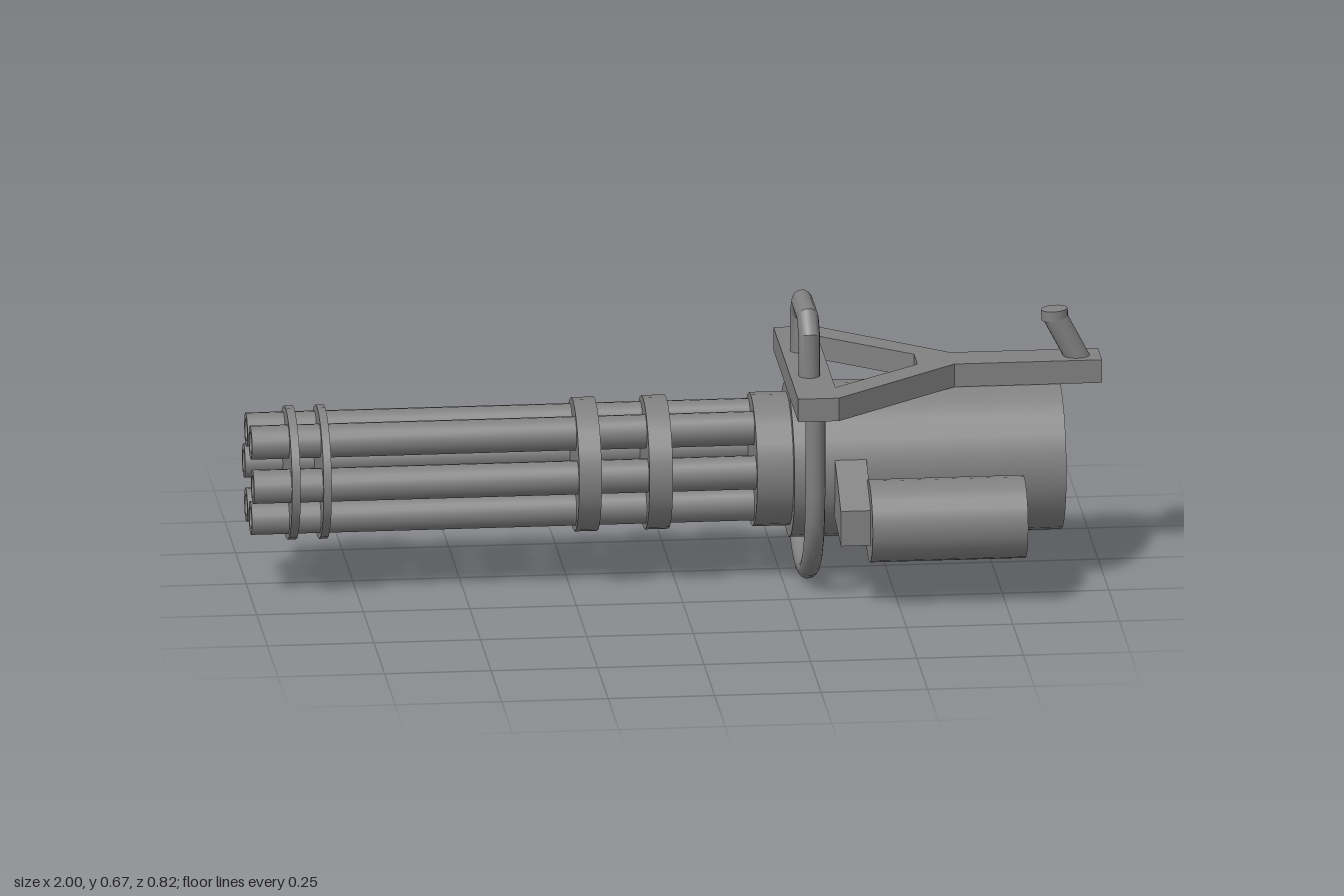
import * as THREE from 'three';
import { toCreasedNormals } from 'three/addons/utils/BufferGeometryUtils.js';

const material = new THREE.MeshStandardMaterial({ color: 0x818181 });
const pipeMaterial = new THREE.MeshStandardMaterial({ color: 0x818181, side: THREE.DoubleSide });
const AXIS_Y = 0.283, AXIS_Z = 0.045;

function part(parent, name, geometry, mat = material) {
  const mesh = new THREE.Mesh(geometry, mat);
  mesh.name = name;
  parent.add(mesh);
  return mesh;
}

// Solid cylinder lying along x
function drum(parent, name, x0, x1, y, z, r, sides = 24) {
  const g = new THREE.CylinderGeometry(r, r, x1 - x0, sides);
  g.rotateZ(Math.PI / 2);
  g.translate((x0 + x1) / 2, y, z);
  return part(parent, name, g);
}

// Outline given as [z, y], extruded along x
function slab(parent, name, x0, x1, outline) {
  const shape = new THREE.Shape(outline.map(([z, y]) => new THREE.Vector2(-z, y)));
  const g = new THREE.ExtrudeGeometry(shape, { depth: x1 - x0, bevelEnabled: false });
  g.rotateY(Math.PI / 2);
  g.translate(x0, 0, 0);
  return part(parent, name, g);
}

// Mitred round pipe through [z, y] points in a plane of constant x
function pipe(parent, name, x, points, r, sides = 14) {
  const pts = points.map(([z, y]) => new THREE.Vector2(z, y));
  const pos = [], index = [];
  pts.forEach((p, i) => {
    const a = p.clone().sub(pts[Math.max(i - 1, 0)]).normalize();
    const b = pts[Math.min(i + 1, pts.length - 1)].clone().sub(p).normalize();
    const t = a.clone().add(b).normalize();
    const dir = a.lengthSq() > 0 ? a : b;
    const stretch = 1 / t.dot(dir);
    for (let j = 0; j < sides; j++) {
      const w = (j / sides) * Math.PI * 2;
      const s = Math.sin(w) * r * stretch;
      pos.push(x + Math.cos(w) * r, p.y + t.x * s, p.x - t.y * s);
      if (i < pts.length - 1) {
        const k = (j + 1) % sides;
        const p0 = i * sides + j, p1 = i * sides + k;
        index.push(p0, p1, p0 + sides, p1, p1 + sides, p0 + sides);
      }
    }
  });
  const g = new THREE.BufferGeometry();
  g.setAttribute('position', new THREE.Float32BufferAttribute(pos, 3));
  g.setIndex(index);
  return part(parent, name, toCreasedNormals(g, 0.6), pipeMaterial);
}

export function createModel() {
  const model = new THREE.Group();
  model.name = 'rotaryGun';

  // Body and front collar
  drum(model, 'body', 0.265, 0.903, 0.281, 0.046, 0.182);
  drum(model, 'collar', 0.18, 0.27, AXIS_Y, AXIS_Z, 0.157);

  // Six hollow barrels around the axis
  const barrels = new THREE.Group();
  barrels.name = 'barrels';
  model.add(barrels);
  const bore = [[0.04, 0], [0.04, 1.2], [0.026, 1.2], [0.026, 0.2], [0, 0.2]]
    .map(([r, h]) => new THREE.Vector2(r, h));
  for (let i = 0; i < 6; i++) {
    const a = (i * Math.PI) / 3;
    const g = toCreasedNormals(new THREE.LatheGeometry(bore, 16), 0.6);
    g.rotateZ(Math.PI / 2);
    g.translate(0.2, AXIS_Y + Math.sin(a) * 0.106, AXIS_Z + Math.cos(a) * 0.106);
    part(barrels, 'barrel', g);
  }

  // Clamping discs along the barrels
  for (const [x0, x1] of [[-0.912, -0.892], [-0.838, -0.819], [-0.238, -0.185], [-0.073, -0.018]]) {
    drum(barrels, 'barrelClamp', x0, x1, AXIS_Y, AXIS_Z, 0.157);
  }

  // Left canister and its bracket
  drum(model, 'leftCanister', 0.43, 0.795, 0.206, 0.314, 0.097);
  slab(model, 'leftBracket', 0.36, 0.434, [[0.215, 0.332], [0.36, 0.245], [0.36, 0.16], [0.2, 0.19]]);

  // Right canister with its feed chute
  drum(model, 'rightCanister', 0.37, 0.752, 0.206, -0.27, 0.14);
  slab(model, 'rightMount', 0.42, 0.7, [[-0.09, 0.181], [-0.16, 0.181], [-0.16, 0.235], [-0.09, 0.235]]);
  slab(model, 'bodyPort', 0.48, 0.68, [[-0.083, 0.407], [-0.099, 0.417], [-0.143, 0.339], [-0.125, 0.33]]);
  slab(model, 'feedChute', 0.5, 0.662, [[-0.108, 0.402], [-0.26, 0.374], [-0.277, 0.359], [-0.27, 0.342], [-0.13, 0.362]]);
  slab(model, 'canisterPort', 0.48, 0.68, [[-0.22, 0.345], [-0.293, 0.358], [-0.293, 0.332], [-0.22, 0.327]]);

  // Top frame: crossbar, two converging arms and a rear stem
  const toShape = (Type, pts) => new Type(pts.map(([x, z]) => new THREE.Vector2(x, -z)));
  const frame = toShape(THREE.Shape, [
    [0.262, 0.337], [0.358, 0.337], [0.653, 0.092], [1, 0.092],
    [1, -0.003], [0.653, -0.003], [0.358, -0.245], [0.262, -0.245],
  ]);
  frame.holes.push(toShape(THREE.Path, [[0.358, 0.25], [0.358, -0.163], [0.567, 0.004], [0.567, 0.084]]));
  const frameGeo = new THREE.ExtrudeGeometry(frame, { depth: 0.056, bevelEnabled: false });
  frameGeo.rotateX(-Math.PI / 2);
  frameGeo.translate(0, 0.459, 0);
  part(model, 'topFrame', frameGeo);

  // Hoop hanging under the frame
  const hoop = [[0.29, 0.47]];
  for (let i = 0; i <= 12; i++) {
    const a = (i / 12) * Math.PI;
    hoop.push([0.0465 + 0.2435 * Math.cos(a), 0.267 - 0.2435 * Math.sin(a)]);
  }
  hoop.push([-0.197, 0.47]);
  pipe(model, 'hoop', 0.307, hoop, 0.0235);

  // Carrying handle
  pipe(model, 'carryHandle', 0.307, [
    [0.148, 0.5], [0.148, 0.61], [0.113, 0.645], [-0.02, 0.645], [-0.055, 0.61], [-0.055, 0.5],
  ], 0.0255);

  // Slanted rear grip with a button cap
  const grip = part(model, 'rearGrip', new THREE.CylinderGeometry(0.028, 0.028, 0.13, 16));
  grip.position.set(0.922, 0.557, 0.047);
  grip.rotation.z = 0.48;
  const cap = part(model, 'gripCap', new THREE.CylinderGeometry(0.0285, 0.0285, 0.026, 16));
  cap.position.set(0.893, 0.617, 0.047);
  cap.rotation.z = 0.06;
  cap.scale.x = 1.1;

  return model;
}
